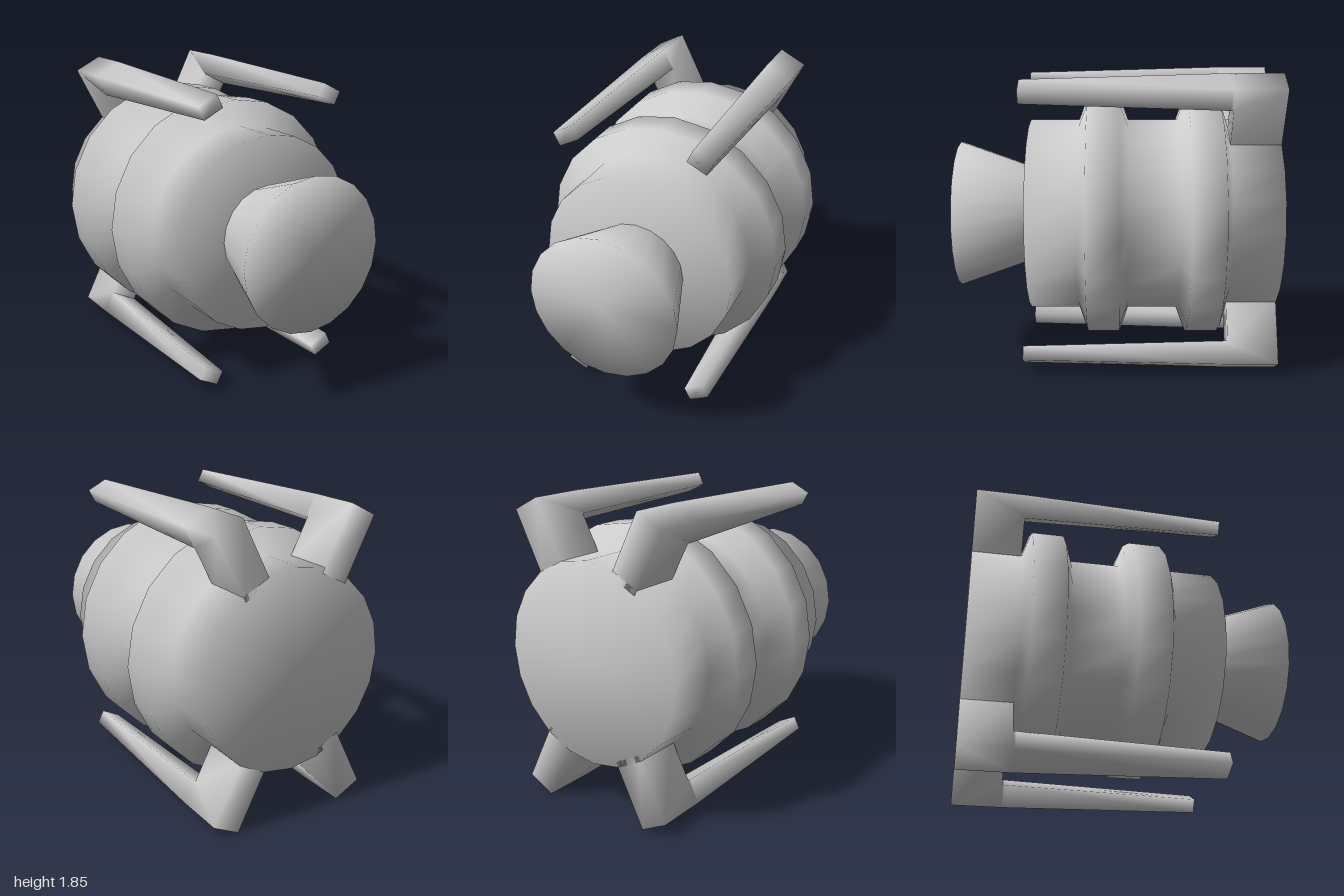
import * as THREE from 'three';

const AXIS_Y = 0.93;
const material = new THREE.MeshStandardMaterial({ color: 0xcccccc });

// Solid of revolution about z; profile is [radius, z] from back to front.
function turned(name, profile) {
  const geo = new THREE.LatheGeometry(profile.map(([r, z]) => new THREE.Vector2(r, z)), 20);
  geo.rotateX(Math.PI / 2);
  const mesh = new THREE.Mesh(geo, material);
  mesh.name = name;
  return mesh;
}

// L-shaped prong: four-cornered sections, each [inner z, inner radius, outer z, outer radius, width].
function prongGeometry() {
  const sections = [
    [-0.69, 0.57, -1, 0.57, 0.186],
    [-0.69, 0.844, -1, 0.99, 0.186],
    [-0.67, 0.845, -0.68, 0.99, 0.186],
    [0.58, 0.875, 0.58, 0.963, 0.134],
  ];
  const pos = [], index = [];
  for (const [zi, ri, zo, ro, w] of sections) {
    pos.push(-w / 2, ri, zi, w / 2, ri, zi, w / 2, ro, zo, -w / 2, ro, zo);
  }
  const last = (sections.length - 1) * 4;
  for (let s = 0; s < last; s += 4) {
    for (let i = 0; i < 4; i++) {
      const a = s + i, b = s + (i + 1) % 4;
      index.push(a, b, b + 4, a, b + 4, a + 4);
    }
  }
  index.push(last, last + 1, last + 2, last, last + 2, last + 3);
  const geo = new THREE.BufferGeometry();
  geo.setAttribute('position', new THREE.Float32BufferAttribute(pos, 3));
  geo.setIndex(index);
  geo.computeVertexNormals();
  return geo;
}

export function createModel() {
  const model = new THREE.Group();
  model.name = 'engine';
  const assembly = new THREE.Group();
  assembly.name = 'assembly';
  assembly.position.y = AXIS_Y;
  model.add(assembly);

  // Drum with two raised bands
  assembly.add(turned('body', [
    [0, -1], [0.612, -1], [0.612, -0.69], [0.765, -0.64], [0.765, -0.44], [0.612, -0.385],
    [0.612, -0.075], [0.765, -0.02], [0.765, 0.18], [0.612, 0.235], [0.612, 0.545], [0, 0.545],
  ]));

  // Flared nozzle, closed at the mouth
  assembly.add(turned('nozzle', [[0.29, 0.5], [0.467, 1], [0, 1]]));

  // Four prongs, mirrored left/right and top/bottom
  const geo = prongGeometry();
  const tilt = THREE.MathUtils.degToRad(26.9);
  for (const base of [0, Math.PI]) {
    for (const side of [-1, 1]) {
      const prong = new THREE.Mesh(geo, material);
      prong.name = 'prong';
      prong.rotation.z = base + side * tilt;
      assembly.add(prong);
    }
  }
  return model;
}
